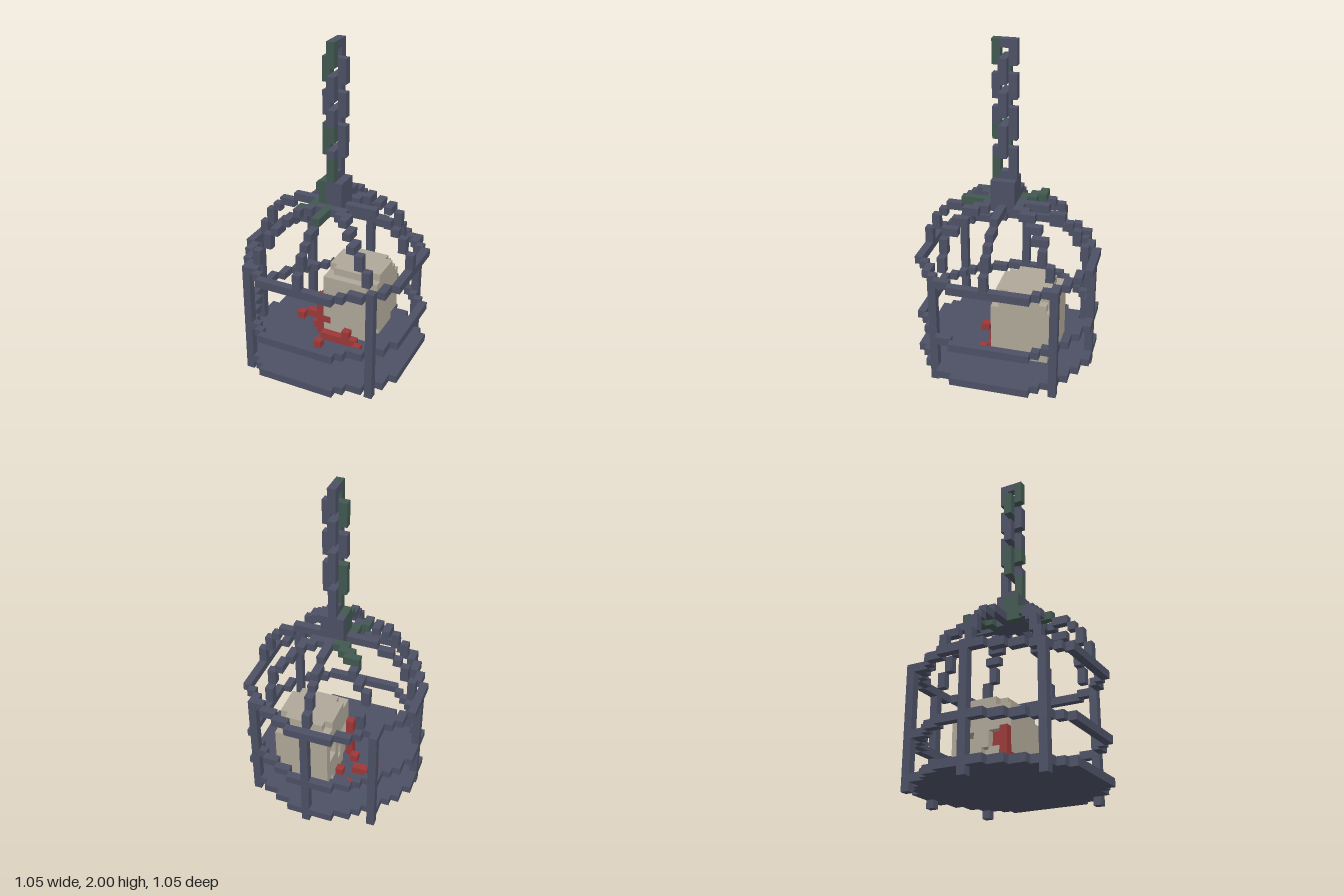
import * as THREE from 'three';
import { mergeGeometries } from 'three/addons/utils/BufferGeometryUtils.js';

const U = 1 / 21; // edge of one cube

const mat = (name, color) => {
  const m = new THREE.MeshStandardMaterial({ color });
  m.name = name;
  return m;
};

export function createModel() {
  const iron = mat('iron', 0x4c5064);
  const moss = mat('moss', 0x40584f);
  const bone = mat('bone', 0xafa798);
  const blood = mat('blood', 0x9c3838);

  const grid = new Map();  // "x,y,z" -> part name
  const parts = new Map(); // part name -> material
  const key = (x, y, z) => `${x},${y},${z}`;

  // Fill cubes from (x0,y0,z0) up to, not including, (x1,y1,z1)
  function fill(part, material, x0, y0, z0, x1 = x0 + 1, y1 = y0 + 1, z1 = z0 + 1) {
    parts.set(part, material);
    for (let x = x0; x < x1; x++)
      for (let y = y0; y < y1; y++)
        for (let z = z0; z < z1; z++) grid.set(key(x, y, z), part);
  }
  function clear(x0, y0, z0, x1, y1, z1) {
    for (let x = x0; x < x1; x++)
      for (let y = y0; y < y1; y++)
        for (let z = z0; z < z1; z++) grid.delete(key(x, y, z));
  }

  // Round outline: left and right limit of each row, back to front
  const rows = [
    [-3, 3], [-5, 5], [-6, 7], [-8, 9], [-8, 9], [-9, 10], [-10, 11], [-10, 11],
    [-11, 11], [-11, 11], [-11, 11], [-11, 11], [-11, 11], [-11, 11],
    [-10, 11], [-10, 11], [-9, 10], [-9, 10], [-8, 9], [-7, 8], [-6, 6], [-5, 5],
  ];
  const inside = (x, z) => {
    const r = rows[z + 11];
    return !!r && x >= r[0] && x < r[1];
  };

  // Floor and the two hoops
  rows.forEach(([l, r], i) => {
    const z = i - 11;
    fill('floor', iron, l, 1, z, r, 2, z + 1);
    for (let x = l; x < r; x++) {
      const edge = !inside(x - 1, z) || !inside(x + 1, z) || !inside(x, z - 1) || !inside(x, z + 1);
      if (!edge) continue;
      fill('middleHoop', iron, x, 6, z);
      fill('topHoop', iron, x, 14, z);
    }
  });

  // Upright bars
  for (const [x, z] of [[-11, 0], [0, -11], [8, 7], [8, -8], [-8, 8], [-8, -9]])
    fill('uprightBars', iron, x, 0, z, x + 1, 15, z + 1);

  // Straight dome ribs: [distance, bottom, top]
  const arc = [[10, 15, 17], [9, 17, 19], [8, 19, 20], [7, 20, 21], [6, 20, 21],
    [5, 21, 22], [4, 21, 22], [3, 21, 22], [2, 21, 22], [1, 21, 22], [0, 21, 22]];
  for (const [sx, sz] of [[1, 0], [-1, 0], [0, 1], [0, -1]])
    for (const [d, y0, y1] of arc)
      fill('domeRibs', iron, sx * d, y0, sz * d, sx * d + 1, y1, sz * d + 1);

  // Diagonal dome ribs, stepping two cubes wide near the top
  for (const [x, z] of [[7, 6], [6, -7], [-7, 7], [-6, -8]])
    fill('domeRibs', iron, x, 15, z, x + 1, 17, z + 1);
  for (const sx of [-1, 1])
    for (const sz of [-1, 1]) {
      fill('domeRibs', iron, sx * 6, 17, sz * 6, sx * 6 + 1, 19, sz * 6 + 1);
      for (const [d, y] of [[5, 19], [4, 20], [3, 21], [2, 21], [1, 21]]) {
        fill('domeRibs', iron, sx * d, y, sz * d);
        fill('domeRibs', iron, sx * d, y, sz * (d + 1));
      }
    }

  // Hub
  fill('hub', iron, -1, 22, -1, 2, 25, 2);

  // Chain links, alternating between the two planes
  function link(y0, y1, alongX) {
    for (let y = y0; y < y1; y++)
      for (let s = -1; s <= 1; s++) {
        if (s === 0 && y > y0 && y < y1 - 1) continue;
        fill('chain', iron, alongX ? s : 0, y, alongX ? 0 : s);
      }
  }
  for (const [a, b] of [[39, 42], [35, 38], [30, 34], [25, 29]]) link(a, b, false);
  for (const [a, b] of [[37, 40], [33, 36], [28, 32]]) link(a, b, true);

  // Moss on chain, hub and ribs
  const M = (...a) => fill('mossPatches', moss, ...a);
  M(0, 39, 1, 1, 42, 2);
  M(0, 30, 1, 1, 32, 2);
  M(0, 25, 1, 1, 28, 2);
  M(-1, 37, 0, 0, 40, 1);
  M(-1, 28, 0, 0, 32, 1);
  M(-1, 22, 0, 0, 25, 2);
  M(0, 21, 2, 1, 22, 6);
  for (const [x, z] of [[-3, -4], [-4, -4], [-3, -3], [-2, -3], [-2, -2], [-1, -2],
    [-2, 1], [-2, 2], [-3, 3]]) M(x, 21, z);

  // Skull: overlapping blocks give the rounded corners
  const B = (...a) => fill('skull', bone, ...a);
  B(-1, 3, -5, 6, 12, -1);
  B(-1, 3, -7, 5, 11, 1);
  B(-1, 4, -6, 6, 11, 0);
  B(0, 2, -6, 5, 12, 0);
  B(-1, 2, -5, 5, 3, -1);
  B(0, 4, -7, 6, 10, 1);

  // Eye sockets and nose on the face
  clear(-1, 6, -6, 1, 8, -4);
  clear(-1, 6, -2, 1, 8, 0);
  clear(-1, 4, -3, 0, 6, -2);

  // Blood: eye, drip and floor splashes
  const R = (...a) => fill('blood', blood, ...a);
  R(0, 6, -2, 1, 8, -1);
  R(-2, 2, 0, -1, 8, 1);
  R(-1, 4, 0);
  R(2, 2, 1, 3, 4, 2);
  for (const [x, z] of [[-3, -1], [-2, -4], [-5, -3], [-4, -3], [-6, -2], [-4, -6],
    [3, 1], [4, 2], [-1, 3], [-1, 1], [0, 1], [1, 1]]) R(x, 2, z);

  // One outward square per cube direction
  const dirs = [[1, 0, 0], [-1, 0, 0], [0, 1, 0], [0, -1, 0], [0, 0, 1], [0, 0, -1]];
  const faces = dirs.map((d) => {
    const v = new THREE.Vector3(...d);
    const q = new THREE.Quaternion().setFromUnitVectors(new THREE.Vector3(0, 0, 1), v);
    if (d[2] === -1) q.setFromAxisAngle(new THREE.Vector3(0, 1, 0), Math.PI);
    return new THREE.PlaneGeometry(U, U).applyQuaternion(q).translate(...v.multiplyScalar(U / 2).toArray());
  });

  // Build one mesh per part from its exposed faces
  const lists = new Map([...parts.keys()].map((p) => [p, []]));
  for (const [k, part] of grid) {
    const [x, y, z] = k.split(',').map(Number);
    dirs.forEach(([dx, dy, dz], i) => {
      if (grid.has(key(x + dx, y + dy, z + dz))) return;
      lists.get(part).push(faces[i].clone().translate((x + 0.5) * U, (y + 0.5) * U, (z + 0.5) * U));
    });
  }
  const group = new THREE.Group();
  group.name = 'hangingCage';
  for (const [part, list] of lists) {
    if (!list.length) continue;
    const mesh = new THREE.Mesh(mergeGeometries(list), parts.get(part));
    mesh.name = part;
    group.add(mesh);
  }
  return group;
}
